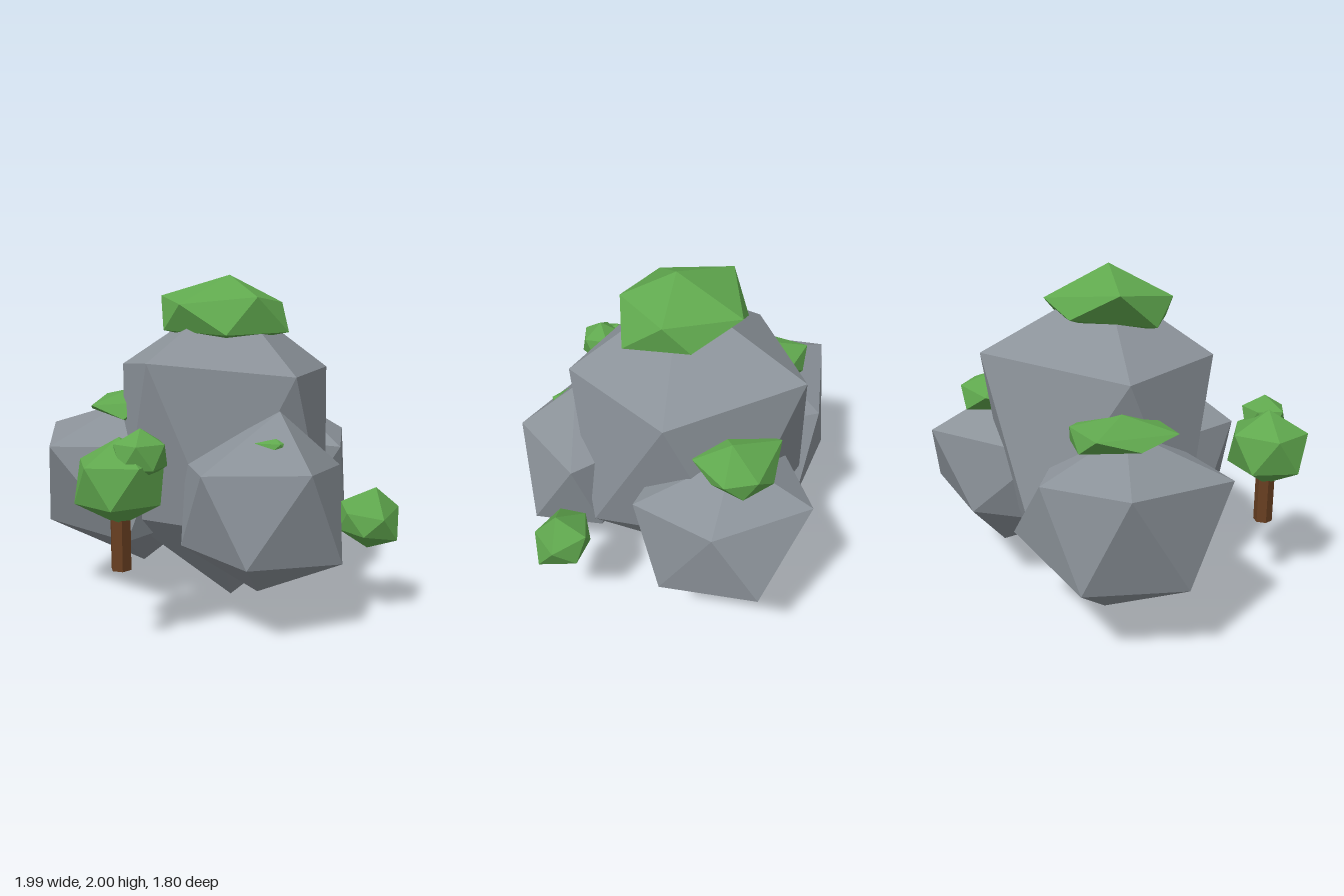
import * as THREE from 'three';

const mat = (name, color) => {
  const m = new THREE.MeshStandardMaterial({ color, flatShading: true });
  m.name = name;
  return m;
};

// Twenty-sided lump from a top point, two rings of five and a bottom point.
// Rings run from +x towards +z; each lower corner sits between two upper ones.
function lump(name, material, top, upper, lower, bottom) {
  const pos = [];
  const face = (...corners) => corners.forEach((c) => pos.push(...c));
  for (let i = 0; i < 5; i++) {
    const j = (i + 1) % 5;
    face(top, upper[j], upper[i]);
    face(upper[j], lower[i], upper[i]);
    face(lower[i], upper[j], lower[j]);
    face(bottom, lower[i], lower[j]);
  }
  const g = new THREE.BufferGeometry();
  g.setAttribute('position', new THREE.Float32BufferAttribute(pos, 3));
  g.computeVertexNormals();
  const mesh = new THREE.Mesh(g, material);
  mesh.name = name;
  return mesh;
}

// Even lump with its own centre, radii and turn about the vertical.
function bush(name, material, [x, y, z], [rx, ry, rz], turn) {
  const ring = (h, start) => Array.from({ length: 5 }, (_, i) => {
    const a = start + (i * Math.PI * 2) / 5;
    return [x + rx * 0.894 * Math.cos(a), y + ry * h, z + rz * 0.894 * Math.sin(a)];
  });
  return lump(name, material, [x, y + ry, z], ring(0.447, turn),
    ring(-0.447, turn + Math.PI / 5), [x, y - ry, z]);
}

export function createModel() {
  const model = new THREE.Group();
  model.name = 'rockCluster';
  const stone = mat('stone', 0x8b9299);
  const leaf = mat('leaf', 0x60a84e);
  const bark = mat('bark', 0x683f21);

  // Rocks
  model.add(
    lump('mainRock', stone, [0.08, 1.9, -0.03],
      [[0.735, 1.44, -0.11], [0.315, 1.44, 0.55], [-0.47, 1.51, 0.3], [-0.515, 1.46, -0.38], [0.29, 1.555, -0.77]],
      [[0.57, 0.57, 0.36], [-0.1, 0.57, 0.42], [-0.57, 0.57, 0], [-0.1, 0.6, -0.75], [0.58, 0.61, -0.45]],
      [0.11, 0, -0.08]),
    lump('frontRock', stone, [0.22, 1.26, 0.56],
      [[0.61, 0.93, 0.47], [0.29, 0.97, 0.9], [-0.26, 0.96, 0.74], [-0.25, 0.95, 0.3], [0.3, 1, 0.12]],
      [[0.52, 0.44, 0.77], [-0.05, 0.48, 0.88], [-0.31, 0.51, 0.45], [0.08, 0.48, 0.18], [0.5, 0.46, 0.35]],
      [0.11, 0.235, 0.53]),
    lump('rightRock', stone, [-0.5, 1.22, -0.4],
      [[0, 1, -0.45], [-0.35, 1, 0.08], [-0.995, 1, -0.09], [-0.93, 1.05, -0.75], [-0.29, 0.95, -0.82]],
      [[-0.08, 0.5, -0.15], [-0.57, 0.45, 0.12], [-0.995, 0.475, -0.4], [-0.65, 0.46, -0.84], [0.05, 0.55, -0.76]],
      [-0.39, 0.145, -0.46]),
    lump('leftRock', stone, [0.58, 1.23, -0.45],
      [[0.98, 0.99, -0.43], [0.78, 0.95, 0.05], [0.28, 1, -0.05], [0, 0.98, -0.58], [0.66, 1.04, -0.9]],
      [[0.89, 0.46, -0.12], [0.5, 0.5, 0], [0.06, 0.5, -0.42], [0.4, 0.57, -0.81], [0.98, 0.61, -0.69]],
      [0.5, 0.265, -0.53]),
  );

  // Foliage on and beside the rocks
  model.add(
    lump('topBush', leaf, [0.08, 2, -0.01],
      [[0.41, 1.84, -0.02], [0.17, 1.87, 0.28], [-0.26, 1.83, 0.18], [-0.29, 1.88, -0.25], [0.19, 1.83, -0.4]],
      [[0.38, 1.67, 0.21], [-0.03, 1.66, 0.35], [-0.32, 1.68, 0], [-0.03, 1.73, -0.39], [0.39, 1.7, -0.17]],
      [0.06, 1.6, 0]),
    lump('rightBush', leaf, [-0.47, 1.3, -0.4],
      [[-0.22, 1.24, -0.4], [-0.4, 1.24, -0.15], [-0.73, 1.22, -0.23], [-0.59, 1.24, -0.68], [-0.3, 1.24, -0.62]],
      [[-0.27, 1.14, -0.25], [-0.55, 1.14, -0.13], [-0.71, 1.17, -0.48], [-0.45, 1.14, -0.68], [-0.24, 1.14, -0.57]],
      [-0.47, 1.08, -0.4]),
    lump('leftBush', leaf, [0.62, 1.34, -0.45],
      [[0.86, 1.25, -0.46], [0.67, 1.24, -0.25], [0.35, 1.25, -0.3], [0.4, 1.25, -0.68], [0.77, 1.24, -0.62]],
      [[0.78, 1.19, -0.38], [0.5, 1.16, -0.26], [0.3, 1.16, -0.47], [0.62, 1.13, -0.68], [0.8, 1.14, -0.55]],
      [0.58, 1.12, -0.46]),
    bush('frontBush', leaf, [0.155, 1.065, 0.6], [0.17, 0.1, 0.155], 1.48),
    lump('groundBush', leaf, [0.83, 0.79, 0.49],
      [[0.99, 0.66, 0.46], [0.82, 0.63, 0.635], [0.63, 0.66, 0.55], [0.66, 0.69, 0.38], [0.85, 0.7, 0.31]],
      [[0.93, 0.49, 0.58], [0.71, 0.53, 0.61], [0.61, 0.55, 0.48], [0.74, 0.57, 0.33], [0.92, 0.55, 0.35]],
      [0.78, 0.435, 0.5]),
  );

  // Small tree
  const tree = new THREE.Group();
  tree.name = 'tree';
  const trunk = new THREE.Mesh(new THREE.CylinderGeometry(0.057, 0.057, 0.4, 6), bark);
  trunk.name = 'trunk';
  trunk.position.set(-0.66, 0.65, 0.6);
  tree.add(
    trunk,
    bush('crown', leaf, [-0.66, 0.925, 0.6], [0.265, 0.235, 0.255], 0),
    bush('crownTuft', leaf, [-0.56, 1.075, 0.68], [0.155, 0.14, 0.14], 0.6),
  );
  model.add(tree);
  return model;
}
